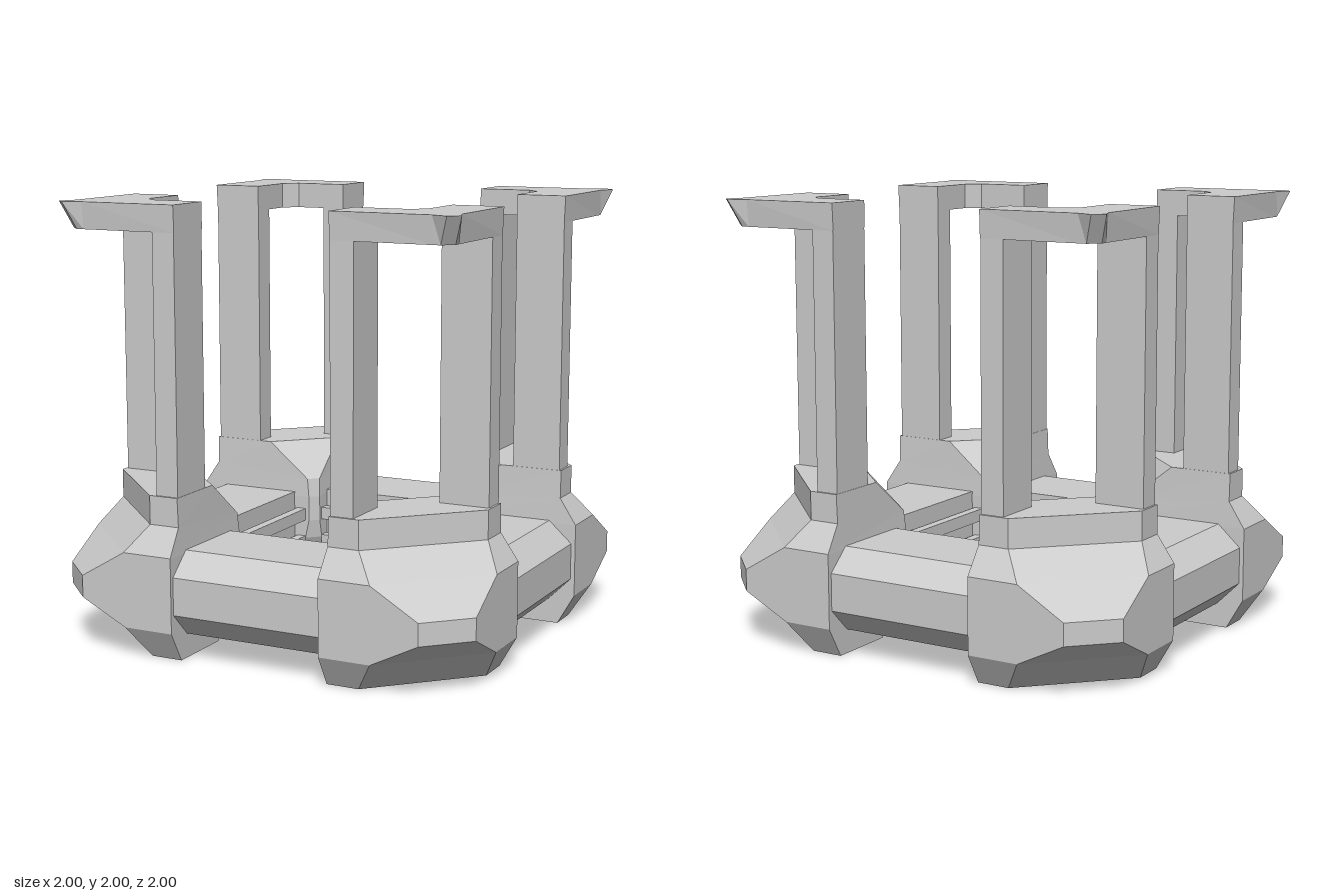
import * as THREE from 'three';

const material = new THREE.MeshStandardMaterial({ color: 0xcccccc, flatShading: true, side: THREE.DoubleSide });

function part(name, geometry) {
  const mesh = new THREE.Mesh(geometry, material);
  mesh.name = name;
  return mesh;
}

function box(name, x0, x1, y0, y1, z0, z1) {
  const g = new THREE.BoxGeometry(x1 - x0, y1 - y0, z1 - z0);
  g.translate((x0 + x1) / 2, (y0 + y1) / 2, (z0 + z1) / 2);
  return part(name, g);
}

const shapeOf = (pts) => new THREE.Shape(pts.map(([x, y]) => new THREE.Vector2(x, y)));

// Faceted corner foot: stacked six-sided sections, mirrored about the diagonal.
// y, outer reach, where the diagonal chamfer starts, inner reach, inner chamfer, inner height
function footGeometry() {
  const rings = [
    [0, 0.92, 0.51, 0.36, 0.6, 0],
    [0.14, 1, 0.6, 0.36, 0.5, 0.14],
    [0.25, 1, 0.82, 0.36, 0.42, 0.26],
    [0.35, 1, 0.82, 0.36, 0.4, 0.35],
    [0.48, 1, 0.6, 0.36, 0.4, 0.47],
    [0.6, 0.92, 0.51, 0.365, 0.41, 0.56],
    [0.73, 0.92, 0.51, 0.37, 0.62, 0.73],
  ].map(([y, o, b, a, c, iy]) => [
    [a, y, o], [b, y, o], [o, y, b], [o, y, a], [c, iy, a], [a, iy, c],
  ]);
  const pos = [];
  const tri = (...pts) => pts.forEach((p) => pos.push(...p));
  const n = 6;
  for (let r = 0; r < rings.length - 1; r++) {
    const lo = rings[r], hi = rings[r + 1];
    for (let i = 0; i < n; i++) {
      const j = (i + 1) % n;
      tri(lo[i], lo[j], hi[j]);
      tri(lo[i], hi[j], hi[i]);
    }
  }
  // flat bottom and top
  const bottom = rings[0], top = rings[rings.length - 1];
  for (let i = 1; i < n - 1; i++) {
    tri(bottom[0], bottom[i + 1], bottom[i]);
    tri(top[0], top[i], top[i + 1]);
  }
  const g = new THREE.BufferGeometry();
  g.setAttribute('position', new THREE.Float32BufferAttribute(pos, 3));
  g.computeVertexNormals();
  return g;
}

// L-shaped cap with a small flared tip at the outer corner
function capGeometry() {
  const outline = [
    [0.37, 0.68], [0.62, 0.68], [0.68, 0.62], [0.68, 0.37], [0.915, 0.37],
    [0.92, 0.83], [0.955, 0.91], [0.91, 0.955], [0.83, 0.92], [0.37, 0.915],
  ];
  const g = new THREE.ExtrudeGeometry(shapeOf(outline), { depth: 0.12, bevelEnabled: false });
  g.rotateX(Math.PI / 2);
  g.translate(0, 2, 0);
  // draw the tip in at the underside
  const p = g.attributes.position;
  for (let i = 0; i < p.count; i++) {
    if (p.getY(i) > 1.95) continue;
    const x = p.getX(i), z = p.getZ(i);
    const pull = x + z > 1.8 ? 0.045 : 0;
    p.setX(i, Math.min(x - pull, 0.91));
    p.setZ(i, Math.min(z - pull, 0.91));
  }
  g.computeVertexNormals();
  return g;
}

// Side beam with chamfered outer edges, running along x
function beamGeometry() {
  const section = [[0.48, 0.11], [0.87, 0.11], [0.98, 0.22], [0.98, 0.39], [0.87, 0.49], [0.48, 0.49]];
  const g = new THREE.ExtrudeGeometry(shapeOf(section), { depth: 0.76, bevelEnabled: false });
  g.translate(0, 0, -0.38);
  g.rotateY(-Math.PI / 2);
  return g;
}

export function createModel() {
  const model = new THREE.Group();
  model.name = 'cornerPostFrame';
  const foot = footGeometry(), cap = capGeometry(), beam = beamGeometry();

  for (let k = 0; k < 4; k++) {
    const corner = new THREE.Group();
    corner.name = 'corner';
    corner.add(
      part('foot', foot),
      box('post', 0.372, 0.48, 0.55, 1.9, 0.68, 0.91),
      box('post', 0.68, 0.91, 0.55, 1.9, 0.372, 0.48),
      part('cap', cap),
    );

    // beam with two thin rails on its inner side
    const side = new THREE.Group();
    side.name = 'side';
    side.add(
      part('beam', beam),
      box('rail', -0.36, 0.36, 0.21, 0.27, 0.42, 0.465),
      box('rail', -0.36, 0.36, 0.35, 0.41, 0.42, 0.465),
    );

    corner.rotation.y = side.rotation.y = (k * Math.PI) / 2;
    model.add(corner, side);
  }
  return model;
}
